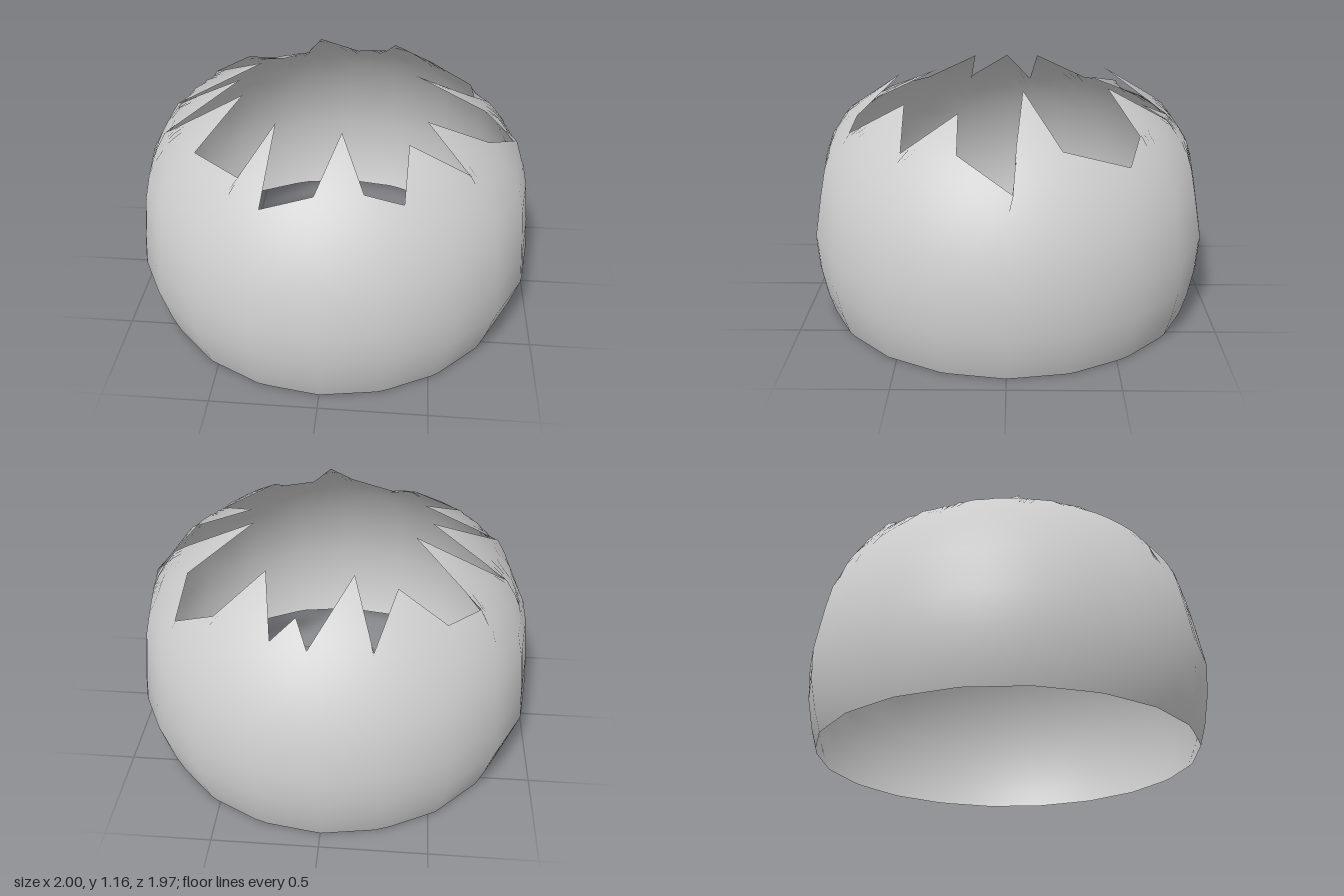
import * as THREE from 'three';

// Corners of the jagged rim: [x, y, z], tips and notches in turn
const RIM = [
  [0.89, 0.85, -0.03], [0.72, 1.0, -0.04], [0.38, 1.16, -0.07], [0.68, 0.97, -0.24],
  [0.68, 0.9, -0.53], [0.49, 0.98, -0.59], [0.27, 1.145, -0.46], [0.22, 0.98, -0.75],
  [0.12, 1.03, -0.64], [0.06, 0.96, -0.78], [-0.12, 1.155, -0.48], [-0.22, 0.95, -0.76],
  [-0.31, 1.06, -0.43], [-0.53, 0.99, -0.59], [-0.68, 0.97, -0.43], [-0.38, 1.16, -0.15],
  [-0.82, 0.93, -0.12], [-0.46, 1.145, 0.01], [-0.8, 0.95, 0.22], [-0.42, 1.15, 0.18],
  [-0.6, 0.99, 0.45], [-0.37, 0.99, 0.64], [-0.24, 1.115, 0.37], [-0.26, 0.92, 0.77],
  [-0.03, 0.99, 0.76], [0.07, 1.165, 0.52], [0.18, 0.985, 0.72], [0.35, 0.95, 0.73],
  [0.36, 1.09, 0.47], [0.63, 0.945, 0.46], [0.44, 1.07, 0.22], [0.73, 0.97, 0.21],
];
// Dome above the shoulder: [radius, height]
const DOME = [[0.4, 1.15], [0.79, 0.96], [0.88, 0.84], [0.925, 0.74]];
// Wall below the shoulder: [radius in x, radius in z, height]
const WALL = [
  [0.93, 0.92, 0.74], [0.958, 0.945, 0.62], [0.985, 0.985, 0.4],
  [1.0, 0.972, 0.24], [0.955, 0.948, 0.1], [0.915, 0.92, 0],
];
const SUB = 4;        // pieces per rim edge
const DOME_ROWS = 6;  // rows from rim to shoulder
const SIDES = 20;     // facets round the wall

const lerp = THREE.MathUtils.lerp;

function domeHeight(r) {
  let k = 1;
  while (k < DOME.length - 1 && r > DOME[k][0]) k++;
  const [r0, y0] = DOME[k - 1], [r1, y1] = DOME[k];
  return lerp(y0, y1, (r - r0) / (r1 - r0));
}

// Point on the many-sided wall outline
function outline(angle, [rx, rz]) {
  const step = (2 * Math.PI) / SIDES;
  const local = angle - Math.floor(angle / step) * step - step / 2;
  const r = Math.cos(step / 2) / Math.cos(local);
  return [rx * r * Math.cos(angle), rz * r * Math.sin(angle)];
}

// Steadily falling wall angle for each rim corner
function wallAngles() {
  const angles = [];
  RIM.forEach(([x, , z], i) => {
    let a = Math.atan2(z, x);
    while (i && a > angles[i - 1] + Math.PI) a -= 2 * Math.PI;
    angles.push(a);
  });
  // the first and last corners sit on exact facet corners of the wall
  angles[0] = 0;
  angles.push(-2 * Math.PI);
  // a tip on the back-left side meets the facet corner at half a turn
  angles[RIM.findIndex(([x, , z]) => x < 0 && Math.abs(z) < 0.05)] = -Math.PI;
  // an overhanging tip stands midway between its neighbours
  for (let i = 1; i < RIM.length; i++) {
    if (angles[i] > angles[i - 1]) angles[i] = (angles[i - 1] + angles[i + 1]) / 2;
  }
  return angles;
}

function shellGeometry() {
  const angles = wallAngles();
  const columns = RIM.length * SUB;
  const rows = DOME_ROWS + WALL.length;
  const positions = [], normals = [], indices = [];
  const normal = new THREE.Vector3();
  // vertex with the smooth outward normal of a rounded shell
  const addVertex = (x, y, z) => {
    positions.push(x, y, z);
    normals.push(...normal.set(x, 1.1 * (y - 0.3), z).normalize());
  };
  for (let c = 0; c < columns; c++) {
    const i = Math.floor(c / SUB), t = (c % SUB) / SUB;
    const next = RIM[(i + 1) % RIM.length];
    const [x, y, z] = RIM[i].map((v, k) => lerp(v, next[k], t));
    const angle = lerp(angles[i], angles[i + 1], t);
    const [sx, sz] = outline(angle, WALL[0]);
    const lift = y - domeHeight(Math.hypot(x, z));
    // rim down to the shoulder
    for (let j = 0; j < DOME_ROWS; j++) {
      const s = j / DOME_ROWS;
      const px = lerp(x, sx, s), pz = lerp(z, sz, s);
      addVertex(px, domeHeight(Math.hypot(px, pz)) + lift * (1 - s), pz);
    }
    // shoulder down to the open base
    for (const ring of WALL) {
      const [px, pz] = outline(angle, ring);
      addVertex(px, ring[2], pz);
    }
    for (let j = 0; j < rows - 1; j++) {
      const p = c * rows + j, q = ((c + 1) % columns) * rows + j;
      indices.push(p, p + 1, q, q, p + 1, q + 1);
    }
  }
  const geometry = new THREE.BufferGeometry();
  geometry.setAttribute('position', new THREE.Float32BufferAttribute(positions, 3));
  geometry.setAttribute('normal', new THREE.Float32BufferAttribute(normals, 3));
  geometry.setIndex(indices);
  return geometry;
}

export function createModel() {
  const group = new THREE.Group();
  group.name = 'brokenShell';
  const material = new THREE.MeshStandardMaterial({ color: 0xcccccc, side: THREE.DoubleSide });
  const shell = new THREE.Mesh(shellGeometry(), material);
  shell.name = 'jaggedShell';
  group.add(shell);
  return group;
}
